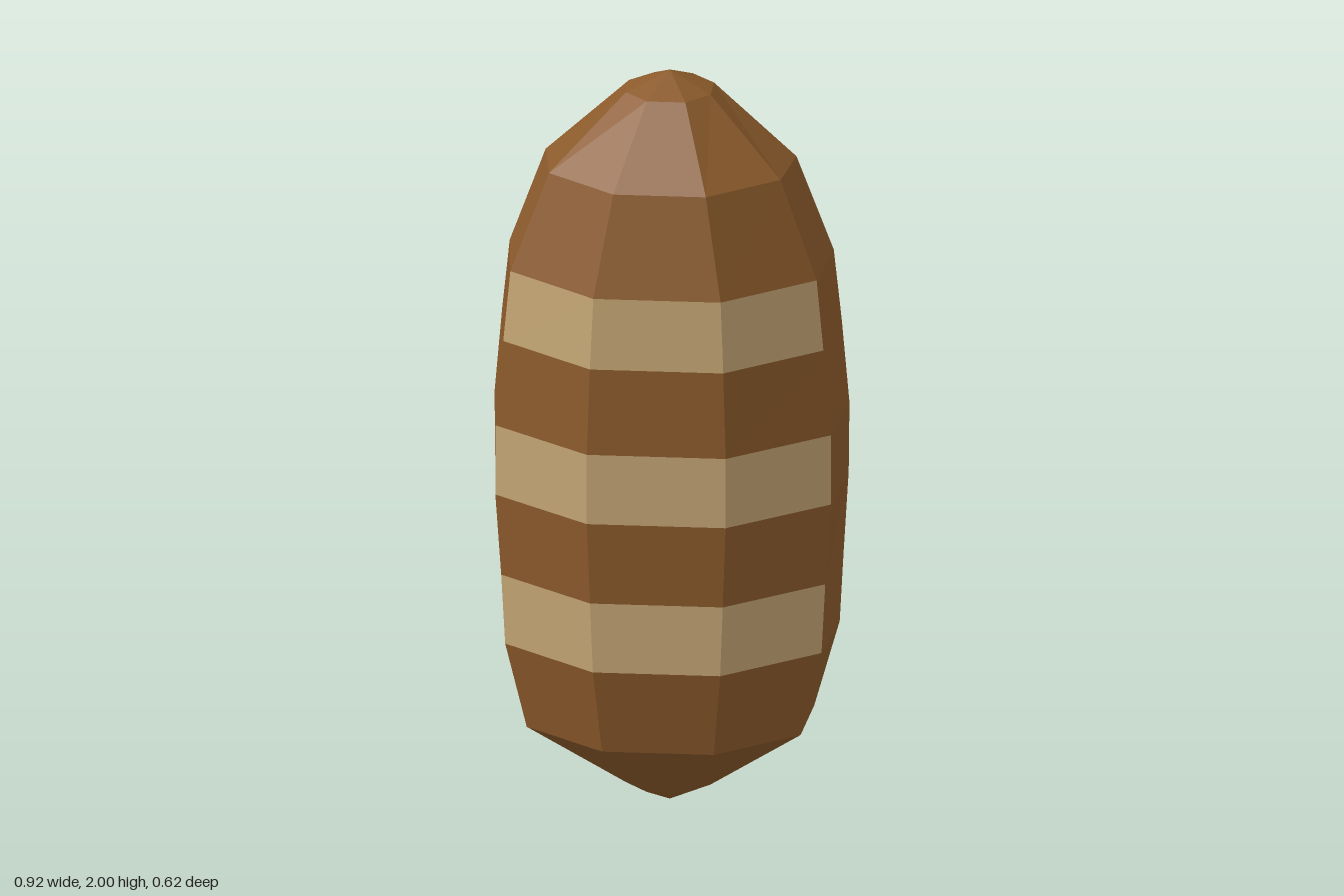
import * as THREE from 'three';

// Eight-sided rings: [y, frontX, frontZ, frontSideX, frontSideZ, backSideX, backSideZ, backX, backZ]
const RINGS = [
  [0.06, 0.05, 0.03, 0.11, -0.04, 0.12, -0.14, 0.05, -0.21],
  [0.25, 0.145, 0.262, 0.355, 0.09, 0.37, -0.14, 0.15, -0.28],
  [0.48, 0.165, 0.30, 0.41, 0.10, 0.435, -0.15, 0.175, -0.305],
  [0.67, 0.172, 0.303, 0.42, 0.103, 0.445, -0.152, 0.18, -0.307],
  [0.89, 0.18, 0.31, 0.435, 0.105, 0.458, -0.153, 0.187, -0.31],
  [1.08, 0.18, 0.31, 0.435, 0.105, 0.46, -0.153, 0.19, -0.312],
  [1.31, 0.173, 0.298, 0.415, 0.10, 0.44, -0.15, 0.185, -0.31],
  [1.50, 0.165, 0.287, 0.397, 0.095, 0.42, -0.145, 0.175, -0.295],
  [1.76, 0.12, 0.21, 0.30, 0.06, 0.325, -0.125, 0.135, -0.247],
  [1.95, 0.05, 0.02, 0.11, -0.045, 0.11, -0.14, 0.05, -0.205],
];
const TIP_Z = -0.09;
const STRIPE_BANDS = [2, 4, 6];

// Corners run counter-clockwise seen from below: front, left side, back, right side
function ringPoints([y, ...p]) {
  const half = [0, 2, 4, 6].map((i) => new THREE.Vector3(p[i], y, p[i + 1]));
  const mirrored = half.map((v) => new THREE.Vector3(-v.x, v.y, v.z)).reverse();
  return [...half, ...mirrored];
}

function makeMesh(name, points, color) {
  const geometry = new THREE.BufferGeometry().setFromPoints(points);
  geometry.computeVertexNormals();
  const mesh = new THREE.Mesh(geometry, new THREE.MeshStandardMaterial({ color, flatShading: true }));
  mesh.name = name;
  return mesh;
}

export function createModel() {
  const group = new THREE.Group();
  group.name = 'stripedCocoon';
  const rings = RINGS.map(ringPoints);
  const sides = 8;
  const body = [];
  const stripes = new Map(STRIPE_BANDS.map((band) => [band, []]));

  // Walls; the three front-facing sides of alternate bands become stripes
  for (let r = 0; r < rings.length - 1; r++) {
    for (let i = 0; i < sides; i++) {
      const j = (i + 1) % sides;
      const isFront = i === 0 || i === 6 || i === 7;
      const target = isFront && stripes.has(r) ? stripes.get(r) : body;
      const [a, b, c, d] = [rings[r][i], rings[r][j], rings[r + 1][j], rings[r + 1][i]];
      target.push(a, b, c, a, c, d);
    }
  }

  // Pointed bottom and top
  const bottom = new THREE.Vector3(0, 0, TIP_Z);
  const top = new THREE.Vector3(0, 2, TIP_Z);
  const first = rings[0];
  const last = rings[rings.length - 1];
  for (let i = 0; i < sides; i++) {
    const j = (i + 1) % sides;
    body.push(bottom, first[j], first[i], top, last[i], last[j]);
  }

  group.add(makeMesh('body', body, 0x8b5a2b));
  const names = ['lowerStripe', 'middleStripe', 'upperStripe'];
  STRIPE_BANDS.forEach((band, k) => group.add(makeMesh(names[k], stripes.get(band), 0xc4a574)));
  return group;
}
